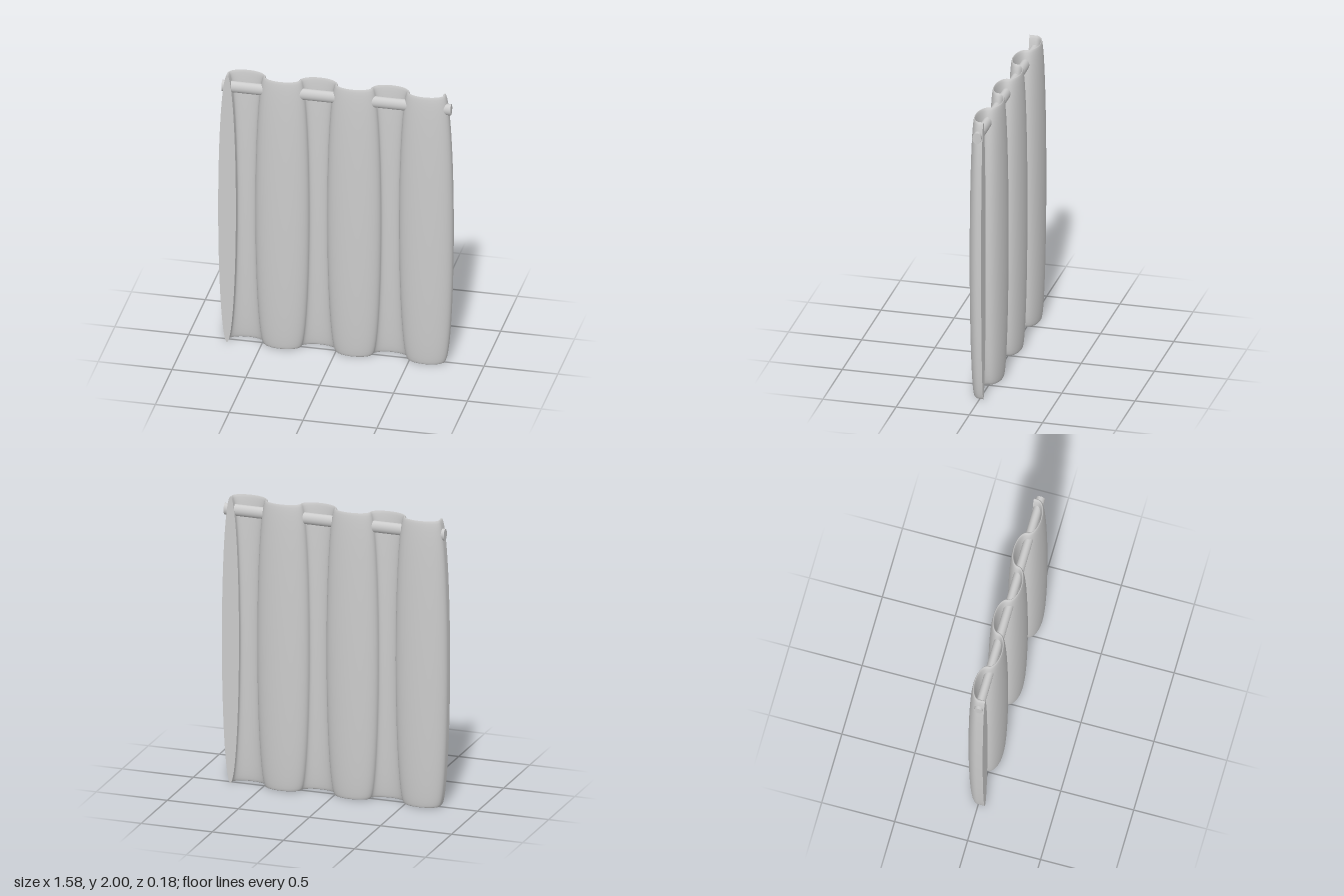
import * as THREE from 'three';

const LOBES = 6, HALF_WIDTH = 0.73, R = HALF_WIDTH / LOBES;
const HALF_THICK = 0.06, FLATTEN = 0.49; // folds are round arcs, flattened in z
const LEFT_END_Z = 0.045, RIGHT_END_Z = -0.025;
const RING = 64, ARC = 24;

// Centre line of the folds seen from above: half circles alternating back and front
function foldPath() {
  const path = [{ x: -HALF_WIDTH, z: LEFT_END_Z / FLATTEN, tx: 0, tz: -1 }];
  for (let k = 0; k < LOBES; k++) {
    const side = k % 2 ? 1 : -1;
    const cx = -HALF_WIDTH + R * (2 * k + 1);
    for (let i = k ? 1 : 0; i <= ARC; i++) {
      const a = (Math.PI * i) / ARC;
      path.push({
        x: cx - R * Math.cos(a), z: side * R * Math.sin(a),
        tx: Math.sin(a), tz: side * Math.cos(a),
      });
    }
  }
  path.push({ x: HALF_WIDTH, z: RIGHT_END_Z / FLATTEN, tx: 0, tz: -1 });
  return path;
}

// Sweep a tall lens-like ellipse along the path: thick at mid height, thin at the hems
function clothGeometry() {
  const path = foldPath(), pos = [], index = [];
  path.forEach((p, s) => {
    for (let j = 0; j < RING; j++) {
      const t = (2 * Math.PI * j) / RING;
      const off = HALF_THICK * Math.sin(t);
      pos.push(p.x - p.tz * off, 1 + Math.cos(t), (p.z + p.tx * off) * FLATTEN);
      if (s < path.length - 1) {
        const a = s * RING + j, b = s * RING + ((j + 1) % RING);
        index.push(a, b, a + RING, b, b + RING, a + RING);
      }
    }
  });
  const g = new THREE.BufferGeometry();
  g.setAttribute('position', new THREE.Float32BufferAttribute(pos, 3));
  g.setIndex(index);
  g.computeVertexNormals();
  return g;
}

export function createModel() {
  const group = new THREE.Group();
  group.name = 'curtain';
  const material = new THREE.MeshStandardMaterial({ color: 0xcccccc });
  const add = (name, geometry) => {
    const mesh = new THREE.Mesh(geometry, material);
    mesh.name = name;
    group.add(mesh);
    return mesh;
  };

  add('foldedCloth', clothGeometry());

  // Flat ends of the cloth
  const endShape = () => new THREE.CircleGeometry(1, RING).scale(HALF_THICK, 1, 1);
  add('rightClothEnd', endShape()).position.set(-HALF_WIDTH, 1, LEFT_END_Z);
  add('leftClothEnd', endShape().rotateY(Math.PI)).position.set(HALF_WIDTH, 1, RIGHT_END_Z);

  // Rod threaded through the folds
  const rod = new THREE.CylinderGeometry(0.04, 0.04, 1.55, 32).rotateZ(Math.PI / 2).scale(1, 1, 0.75);
  add('rod', rod).position.set(0.005, 1.9, 0.008);

  return group;
}
